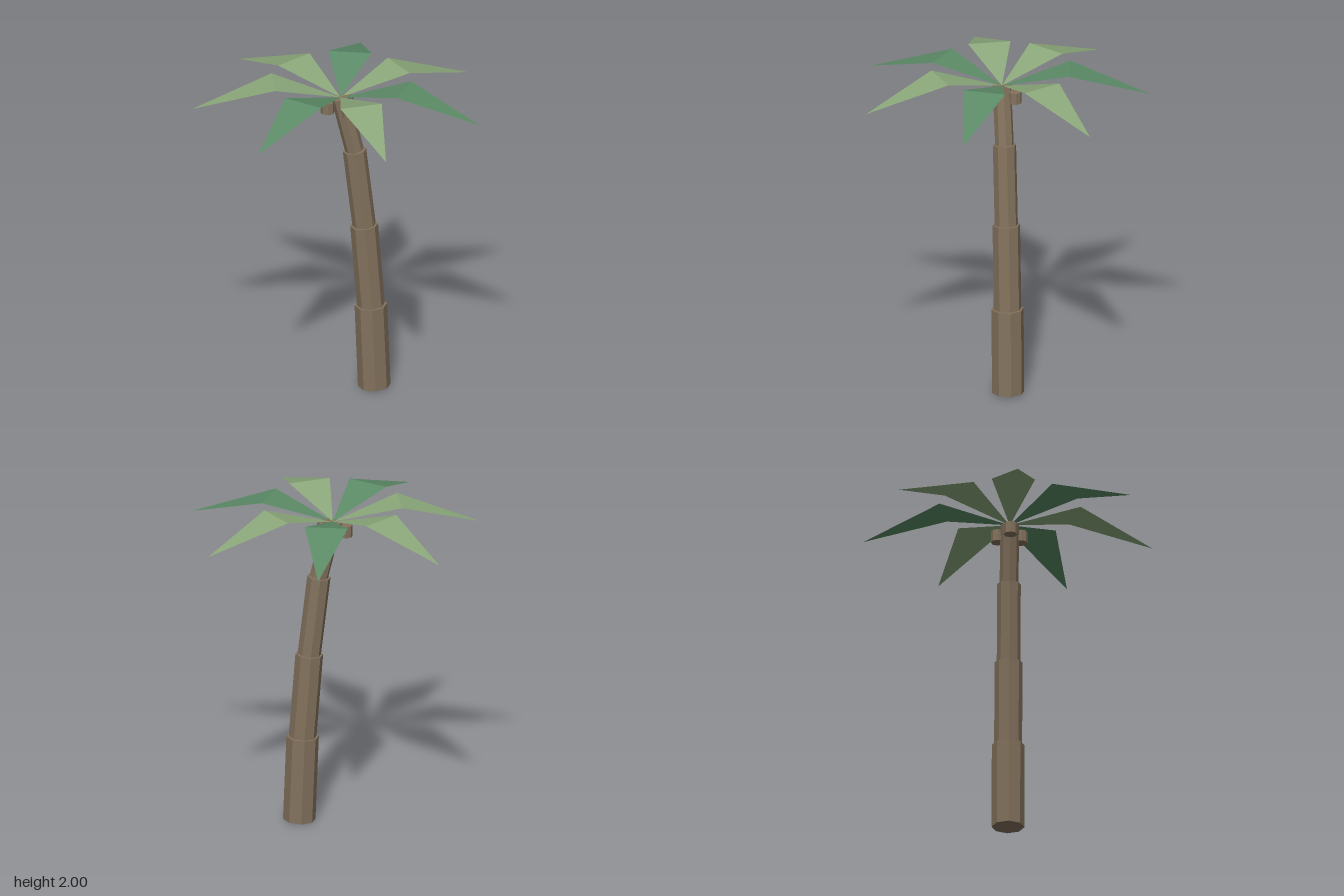
import * as THREE from 'three';

const mat = (name, color, side = THREE.FrontSide) => {
  const m = new THREE.MeshStandardMaterial({ color, side, flatShading: true });
  m.name = name;
  return m;
};

export function createModel() {
  const bark = mat('barkBrown', 0x83725d);
  const lightLeaf = mat('lightGreen', 0x8ba87a, THREE.DoubleSide);
  const darkLeaf = mat('darkGreen', 0x5c8b67, THREE.DoubleSide);

  const tree = new THREE.Group();
  tree.name = 'palmTree';
  const add = (name, geometry, material) => {
    const mesh = new THREE.Mesh(geometry, material);
    mesh.name = name;
    tree.add(mesh);
    return mesh;
  };

  // Trunk: four stepped octagonal segments following a gentle lean
  const path = [[0.242, 0.008], [0.222, 0.533], [0.182, 1.053], [0.125, 1.54], [0.042, 1.887]]
    .map(([x, y]) => new THREE.Vector3(x, y, 0));
  const radii = [0.097, 0.083, 0.07, 0.056];
  radii.forEach((r, i) => {
    const dir = path[i + 1].clone().sub(path[i]);
    const segment = add(`trunkSegment${i + 1}`, new THREE.CylinderGeometry(r, r, dir.length(), 8), bark);
    segment.position.copy(path[i]).addScaledVector(dir, 0.5);
    segment.rotation.z = Math.atan2(-dir.x, dir.y);
  });

  // Three coconuts around the top of the trunk
  for (let i = 0; i < 3; i++) {
    const a = Math.PI + i * Math.PI * 2 / 3;
    const nut = add(`coconut${i + 1}`, new THREE.CylinderGeometry(0.041, 0.041, 0.07, 8), bark);
    nut.position.set(0.045 + 0.08 * Math.cos(a), 1.825, 0.08 * Math.sin(a));
  }

  // Seven kite-shaped fronds, each folded across its widest line
  const frond = new THREE.BufferGeometry();
  frond.setAttribute('position', new THREE.Float32BufferAttribute([
    0, 0, 0, 0.4, 0.115, 0.128, 0.4, 0.115, -0.128,
    0.4, 0.115, 0.128, 0.88, -0.04, 0, 0.4, 0.115, -0.128,
  ], 3));
  frond.computeVertexNormals();
  for (let i = 0; i < 7; i++) {
    const leaf = add(`frond${i + 1}`, frond, i % 2 ? darkLeaf : lightLeaf);
    leaf.position.set(0.042, 1.885, 0);
    leaf.rotation.y = Math.PI + i * Math.PI * 2 / 7;
  }

  return tree;
}
